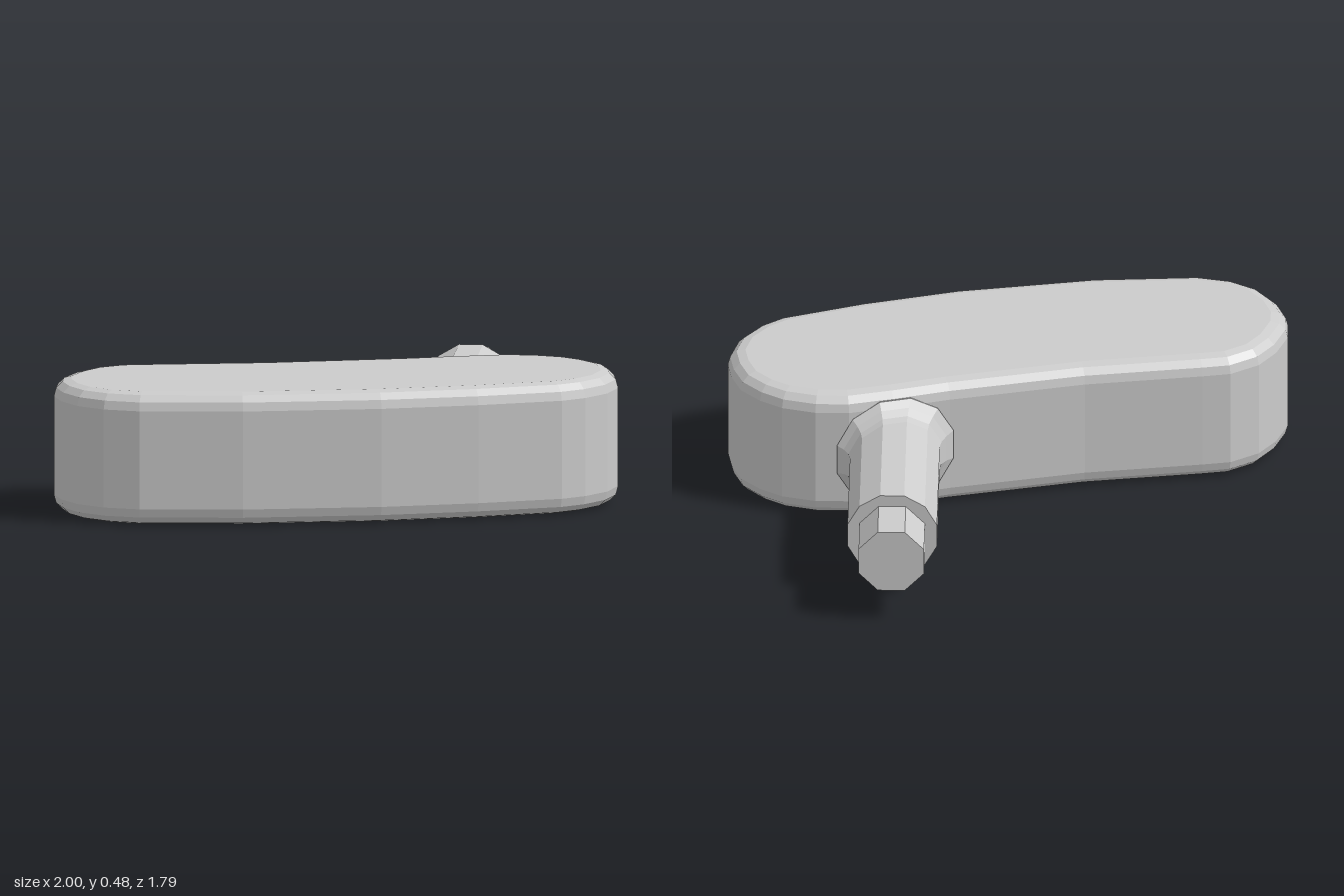
import * as THREE from 'three';

export function createModel() {
  const group = new THREE.Group();
  const material = new THREE.MeshStandardMaterial({ color: 0xcccccc, flatShading: true });
  const add = (name, geometry) => {
    const mesh = new THREE.Mesh(geometry, material);
    mesh.name = name;
    group.add(mesh);
    return mesh;
  };

  // Head: rounded, slanted outline (x, z) with softly bevelled rims
  const outline = [
    [-1, 0.51], [-0.96, 0.39], [-0.9, 0.295], [-0.8, 0.225], [-0.7, 0.205], [-0.28, 0.135],
    [0.2, 0.01], [0.4, -0.055], [0.56, -0.1], [0.68, -0.1], [0.8, -0.065], [0.88, -0.01],
    [0.95, 0.07], [0.985, 0.17], [1, 0.27], [0.97, 0.39], [0.9, 0.49], [0.82, 0.555],
    [0.53, 0.67], [0.19, 0.775], [-0.3, 0.87], [-0.67, 0.895], [-0.8, 0.865], [-0.9, 0.8],
    [-0.965, 0.705], [-1, 0.6],
  ].map(([x, z]) => new THREE.Vector2(x, z));
  const bevel = 0.062;
  const head = new THREE.ExtrudeGeometry(new THREE.Shape(outline), {
    depth: 0.48 - 2 * bevel, bevelEnabled: true, bevelSegments: 3,
    bevelThickness: bevel, bevelSize: bevel, bevelOffset: -bevel,
  });
  head.rotateX(Math.PI / 2).translate(0, 0.48 - bevel, 0);
  add('head', head);

  // Stem parts: cylinders along z with flat top and bottom facets
  const cx = 0.395, cy = 0.24;
  const rod = (name, inradius, sides, zBack, zFront) => {
    const radius = inradius / Math.cos(Math.PI / sides);
    const g = new THREE.CylinderGeometry(radius, radius, zFront - zBack, sides);
    g.rotateY(Math.PI / sides).rotateX(Math.PI / 2);
    g.translate(cx, cy, (zBack + zFront) / 2);
    return add(name, g);
  };
  rod('stem', 0.16, 12, -0.7, 0.1);
  rod('stemTip', 0.117, 8, -0.9, -0.68);

  // Flared collar, sheared to follow the slanted back of the head
  const profile = [[0.2, -0.06], [0.215, 0.0], [0.19, 0.025], [0.172, 0.055], [0.163, 0.1]]
    .map(([r, h]) => new THREE.Vector2(r, h));
  const collar = new THREE.LatheGeometry(profile, 12);
  collar.rotateY(Math.PI / 12).rotateX(-Math.PI / 2);
  const p = collar.attributes.position;
  for (let i = 0; i < p.count; i++) p.setZ(i, p.getZ(i) - 0.3 * p.getX(i) - 0.055);
  collar.translate(cx, cy, 0);
  collar.computeVertexNormals();
  add('collar', collar);

  return group;
}
